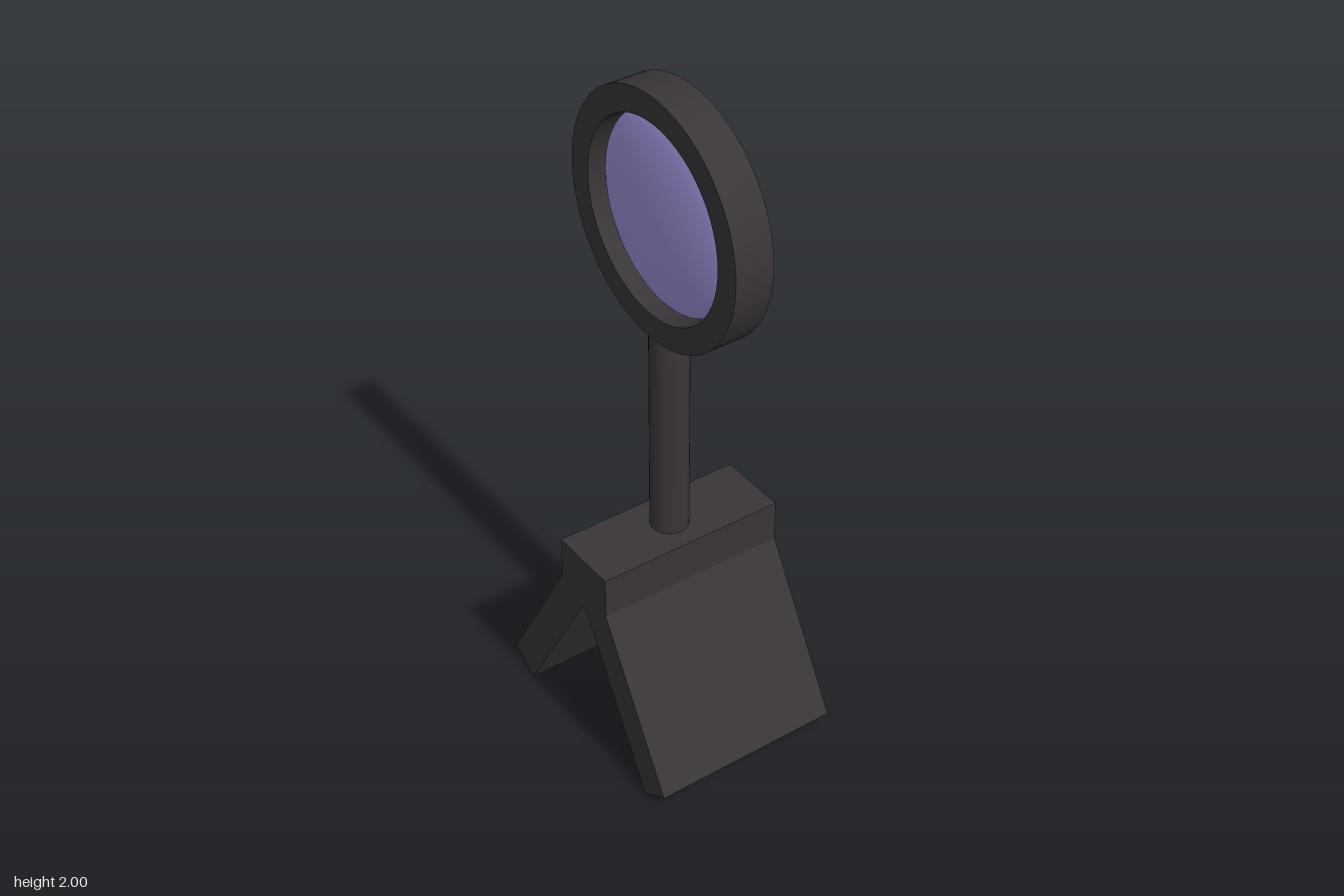
import * as THREE from 'three';
import { toCreasedNormals } from 'three/addons/utils/BufferGeometryUtils.js';

const RING_Y = 1.645;

export function createModel() {
  const model = new THREE.Group();
  model.name = 'standingMagnifier';
  const dark = new THREE.MeshStandardMaterial({ color: 0x3a3536 });
  const violet = new THREE.MeshStandardMaterial({ color: 0x9b90d6 });

  const add = (name, geometry, material, y = 0) => {
    const mesh = new THREE.Mesh(geometry, material);
    mesh.name = name;
    mesh.position.y = y;
    model.add(mesh);
    return mesh;
  };

  // Base: a block with two splayed slab legs, one mirrored outline extruded along z
  const half = [[0.107, 0.65], [0.107, 0.525], [0.378, 0.058], [0.285, 0.004], [0.012, 0.475]];
  const mirrored = half.map(([x, y]) => [-x, y]).reverse();
  const outline = new THREE.Shape([...half, ...mirrored].map(([x, y]) => new THREE.Vector2(x, y - 0.004 * (1 - y / 0.65))));
  const depth = 0.572;
  const base = new THREE.ExtrudeGeometry(outline, { depth, bevelEnabled: false });
  base.translate(0, 0, -depth / 2);
  add('base', base, dark);

  // Pole, sunk slightly into the base and the ring
  add('pole', new THREE.CylinderGeometry(0.055, 0.055, 0.69, 32), dark, 0.975);

  // Ring: rectangular section turned about the z axis
  const inner = 0.281, outer = 0.355, h = 0.057;
  const section = [[inner, -h], [outer, -h], [outer, h], [inner, h], [inner, -h]]
    .map(([r, z]) => new THREE.Vector2(r, z));
  const ring = toCreasedNormals(new THREE.LatheGeometry(section, 64), Math.PI / 6);
  ring.rotateX(Math.PI / 2);
  add('ring', ring, dark, RING_Y);

  // Lens: flattened sphere held inside the ring
  const lens = add('lens', new THREE.SphereGeometry(0.277, 48, 32), violet, RING_Y);
  lens.scale.z = 0.17;

  return model;
}
